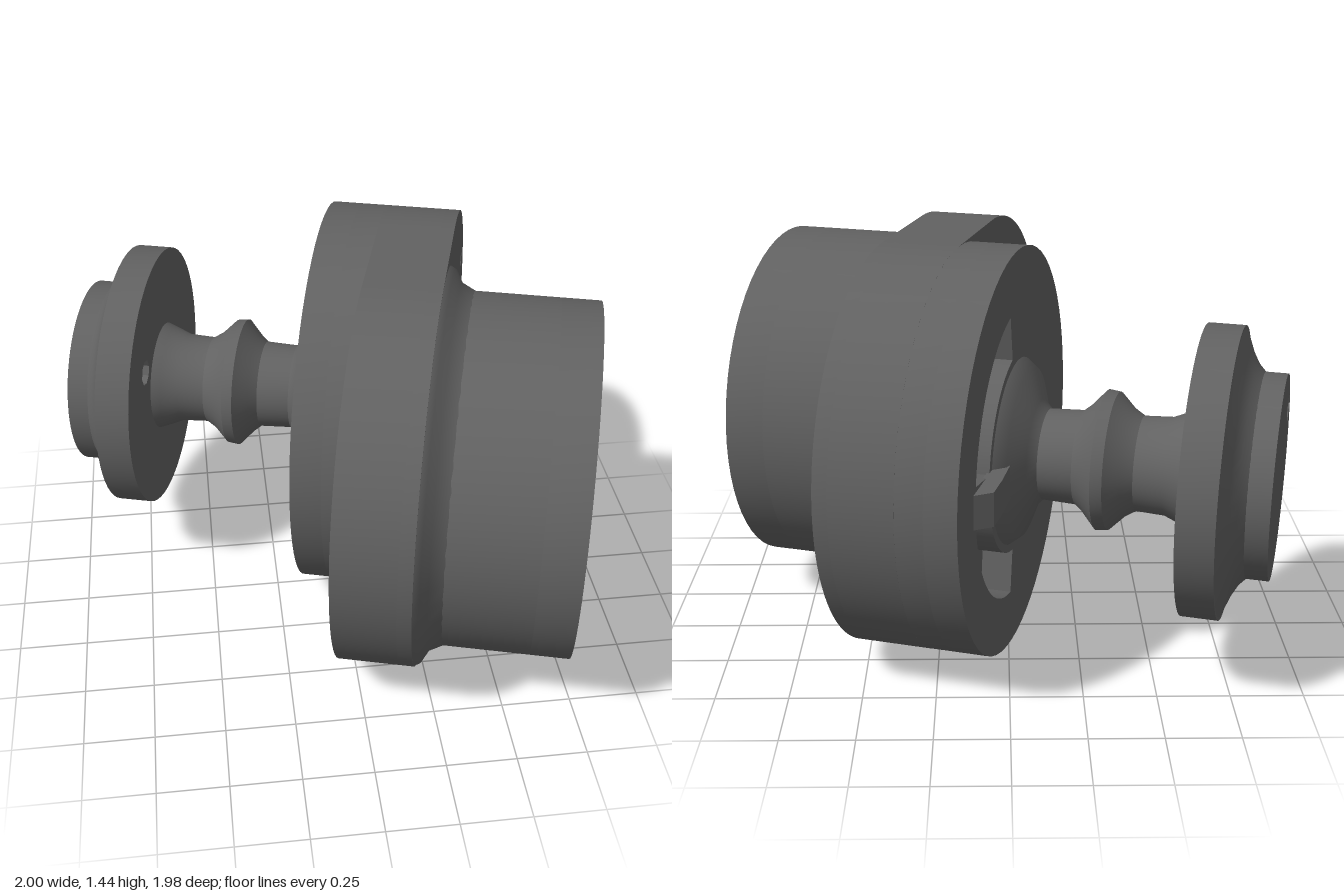
import * as THREE from 'three';
import { toCreasedNormals } from 'three/addons/utils/BufferGeometryUtils.js';

const material = new THREE.MeshStandardMaterial({ color: 0x626262 });
const MID = 0.725;        // height of every axis
const SHAFT = -0.28;      // sideways position of the shaft axis
const MOTOR = 0.14;       // sideways position of the motor axis
const HOUSING = 0.72;     // radius of both gearbox lobes

// Outlines are drawn in (-z, y) and extruded along x.
function circle(z, r) {
  const s = new THREE.Shape();
  s.absarc(-z, MID, r, 0, Math.PI * 2, false);
  return s;
}

function polygonHole(z, y, r, sides, turn = 0) {
  const pts = [];
  for (let i = 0; i < sides; i++) {
    const t = turn - (i / sides) * Math.PI * 2;
    pts.push(new THREE.Vector2(-z + r * Math.cos(t), y + r * Math.sin(t)));
  }
  return new THREE.Path(pts);
}

// Two discs joined by straight sides
function stadium(r) {
  const s = new THREE.Shape();
  s.absarc(-SHAFT, MID, r, -Math.PI / 2, Math.PI / 2, false);
  s.absarc(-MOTOR, MID, r, Math.PI / 2, Math.PI * 1.5, false);
  s.closePath();
  return s;
}

// Curved slot around the shaft axis
function kidneyHole(inner, outer, from, to) {
  const p = new THREE.Path();
  p.absarc(-SHAFT, MID, outer, from, to, false);
  p.absarc(-SHAFT, MID, inner, to, from, true);
  p.closePath();
  return p;
}

export function createModel() {
  const model = new THREE.Group();
  model.name = 'gearMotor';
  const body = new THREE.Group();
  body.name = 'motorAssembly';
  body.rotation.y = -0.273;
  model.add(body);

  function add(name, geometry) {
    const mesh = new THREE.Mesh(toCreasedNormals(geometry, 0.6), material);
    mesh.name = name;
    body.add(mesh);
  }

  function plate(name, shape, x0, x1, holes = []) {
    shape.holes.push(...holes);
    const g = new THREE.ExtrudeGeometry(shape, { depth: x1 - x0, bevelEnabled: false, curveSegments: 32 });
    g.rotateY(Math.PI / 2);
    g.translate(x0, 0, 0);
    add(name, g);
  }

  // Turned part; profile points are [radius, x] with x rising
  function turned(name, profile, z) {
    const g = new THREE.LatheGeometry(profile.map(([r, x]) => new THREE.Vector2(r, x)), 48);
    g.rotateZ(-Math.PI / 2);
    g.translate(0, MID, z);
    add(name, g);
  }

  // Motor can with a socket in its end
  plate('motorBody', circle(MOTOR, 0.635), 0.36, 0.76);
  plate('motorEnd', circle(MOTOR, 0.635), 0.76, 0.9, [polygonHole(MOTOR, MID, 0.08, 7)]);
  turned('motorFillet', [[HOUSING, 0.36], [0.705, 0.385], [0.66, 0.41], [0.634, 0.46]], MOTOR);

  // Gearbox housing with two small square holes beside the motor
  plate('gearboxHousing', stadium(HOUSING), 0.095, 0.315);
  plate('gearboxCover', stadium(HOUSING), 0.315, 0.365,
    [1, -1].map((s) => polygonHole(-0.83, MID + s * 0.31, 0.036, 4, Math.PI / 4)));

  // Round shaft housing with two curved slots and a rib between them
  plate('shaftHousing', circle(SHAFT, HOUSING), 0.0, 0.095);
  plate('slottedPlate', circle(SHAFT, HOUSING), -0.11, 0.0,
    [kidneyHole(0.36, 0.52, 0.15, 1.4), kidneyHole(0.36, 0.52, -1.4, -0.15)]);
  const rib = new THREE.Shape();
  [[-0.83, -0.1], [-0.78, -0.165], [-0.68, -0.165], [-0.5, -0.155], [-0.5, -0.1]]
    .forEach(([z, x], i) => (i ? rib.lineTo(-z, x) : rib.moveTo(-z, x)));
  const ribGeometry = new THREE.ExtrudeGeometry(rib, { depth: 0.12, bevelEnabled: false });
  ribGeometry.rotateZ(-Math.PI / 2);
  ribGeometry.rotateX(Math.PI / 2);
  // outline (-z, x) now lies level, with its thickness along y
  ribGeometry.translate(0, MID + 0.06, 0);
  add('slotRib', ribGeometry);

  // Shaft with fillets, a central collar and a flared boss
  turned('shaft', [
    [0.21, -0.75], [0.195, -0.71], [0.17, -0.65], [0.165, -0.55], [0.19, -0.51],
    [0.24, -0.46], [0.245, -0.42], [0.19, -0.37], [0.165, -0.34], [0.16, -0.22],
    [0.19, -0.19], [0.3, -0.15], [0.34, -0.1],
  ], SHAFT);

  // Flange and hub with an off-centre hole right through
  for (const [name, r, x0, x1] of [['flangeHub', 0.35, -1.02, -0.868], ['flangeDisc', 0.5, -0.868, -0.742]]) {
    plate(name, circle(SHAFT, r), x0, x1, [polygonHole(SHAFT + 0.235, MID + 0.165, 0.048, 8)]);
  }
  turned('flangeTaper', [[0.349, -0.945], [0.375, -0.92], [0.42, -0.895], [0.495, -0.866]], SHAFT);
  return model;
}
